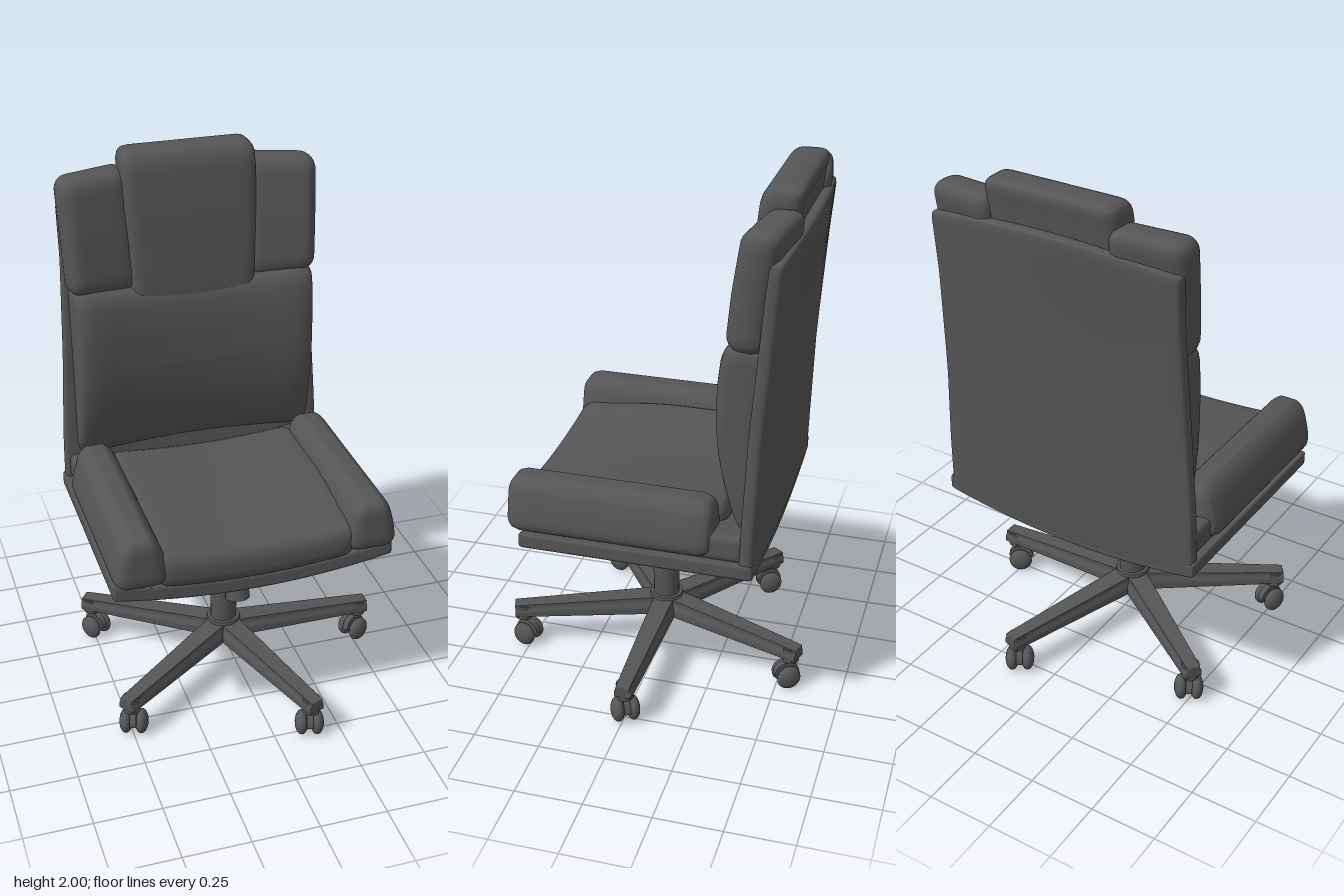
import * as THREE from 'three';
import { mergeVertices } from 'three/addons/utils/BufferGeometryUtils.js';

const material = new THREE.MeshStandardMaterial({ color: 0x555555, roughness: 0.8 });

// Linear lookup in a short list of [key, value] pairs.
function lookup(table, k) {
  if (k <= table[0][0]) return table[0][1];
  for (let i = 1; i < table.length; i++) {
    const [a, va] = table[i - 1], [b, vb] = table[i];
    if (k <= b) return va + (vb - va) * (k - a) / (b - a);
  }
  return table[table.length - 1][1];
}

// Rounded block, denser towards its edges, whose vertices are then moved by a rule.
function padGeometry(size, r, warp, n = 20) {
  const geo = new THREE.BoxGeometry(2, 2, 2, n, n, 12);
  geo.deleteAttribute('normal');
  geo.deleteAttribute('uv');
  const merged = mergeVertices(geo, 1e-4);
  const pos = merged.attributes.position;
  const half = new THREE.Vector3(...size).multiplyScalar(0.5);
  const inner = half.clone().subScalar(r);
  const v = new THREE.Vector3(), core = new THREE.Vector3();
  for (let i = 0; i < pos.count; i++) {
    v.fromBufferAttribute(pos, i);
    for (const a of ['x', 'y', 'z']) v[a] = Math.sin(v[a] * Math.PI / 2) * half[a];
    core.copy(v).clamp(inner.clone().negate(), inner);
    v.sub(core).setLength(r).add(core);
    warp(v);
    pos.setXYZ(i, v.x, v.y, v.z);
  }
  merged.computeVertexNormals();
  return merged;
}

function add(parent, name, geo, x = 0, y = 0, z = 0) {
  const mesh = new THREE.Mesh(geo, material);
  mesh.name = name;
  mesh.position.set(x, y, z);
  parent.add(mesh);
  return mesh;
}

// Flip a geometry to the other side, keeping its faces outward.
function mirrored(geo) {
  const g = geo.clone().scale(-1, 1, 1);
  const idx = g.index.array;
  for (let i = 0; i < idx.length; i += 3) [idx[i], idx[i + 1]] = [idx[i + 1], idx[i]];
  g.computeVertexNormals();
  return g;
}

function addPair(parent, name, geo) {
  add(parent, 'left' + name, geo);
  add(parent, 'right' + name, mirrored(geo));
}

function buildSeat(chair) {
  const seat = new THREE.Group();
  seat.name = 'seat';
  chair.add(seat);
  const sag = x => 0.05 * (x / 0.525) ** 2;

  // Curved tray under the cushions
  add(seat, 'seatTray', padGeometry([1.05, 0.06, 0.86], 0.012, v => {
    v.y += 0.64 + sag(v.x);
    v.z -= 0.03;
  }));
  // Centre cushion with a rounded, slightly bowed front
  add(seat, 'seatCushion', padGeometry([0.76, 0.15, 0.77], 0.06, v => {
    v.y += 0.745 + sag(v.x) * 0.9;
    if (v.y > 0.76) v.y += 0.03 * Math.min(1, Math.max(0, (0.3 - v.z) / 0.25));
    v.z += 0.055;
  }));
  // Raised side bolsters, narrowing to a soft ridge
  addPair(seat, 'Bolster', padGeometry([0.2, 0.21, 0.765], 0.055, v => {
    const t = v.y / 0.21 + 0.5;
    v.x = 0.428 + v.x * (1.02 - 0.5 * t * t);
    v.y += 0.818;
    v.z = v.z * (1 - 0.02 * t) + 0.07;
  }));
  // Low upholstery between cushion and back
  add(seat, 'seatRear', padGeometry([1.0, 0.11, 0.2], 0.03, v => {
    v.y += 0.715 + sag(v.x);
    v.z -= 0.34;
  }));
}

function buildBack(chair) {
  const back = new THREE.Group();
  back.name = 'backrest';
  chair.add(back);
  const shellRear = [[0.6, -0.46], [0.85, -0.473], [1.2, -0.495], [1.6, -0.535], [1.9, -0.568]];
  const shellWidth = [[0.6, 1.01], [0.88, 1], [1.2, 0.965], [1.6, 0.935], [1.9, 0.94]];
  const padFront = [[0.8, -0.4], [0.9, -0.36], [1, -0.33], [1.1, -0.31], [1.2, -0.3], [1.35, -0.3], [1.45, -0.312], [1.52, -0.335]];
  const panelFront = [[1.2, -0.365], [1.4, -0.342], [1.52, -0.343], [1.75, -0.365], [1.93, -0.385], [2, -0.405]];
  const wingFront = [[1.45, -0.33], [1.55, -0.325], [1.7, -0.34], [1.93, -0.375]];

  // Thin outer shell, wrapping forward at its sides
  add(back, 'backShell', padGeometry([1.03, 1.25, 0.054], 0.022, v => {
    const e = (v.x / 0.515) ** 2, t = v.y / 1.25 + 0.5;
    v.y += 1.24 + e * (0.045 - 0.09 * t * t);
    v.x *= lookup(shellWidth, v.y);
    v.z += lookup(shellRear, v.y) + 0.027 + e * (0.004 + 0.03 * t);
  }));
  // Lower cushion, fuller at its sides, its rear lying on the shell
  add(back, 'lowerBackCushion', padGeometry([0.93, 0.7, 0.15], 0.045, v => {
    const e = Math.min(1, (v.x / 0.38) ** 2);
    v.y += 1.165 - 0.025 * (1 - e) * (v.y > 0 ? 1 : -0.5);
    const front = lookup(padFront, v.y) - 0.025 * (1 - e);
    const rear = lookup(shellRear, v.y) + 0.03;
    v.z = rear + (front - rear) * (v.z / 0.15 + 0.5);
  }));
  // Centre panel running up into the headrest
  add(back, 'centrePanel', padGeometry([0.51, 0.75, 0.145], 0.045, v => {
    v.y += 1.625;
    v.x *= 0.94 + 0.06 * Math.min(1, Math.max(0, (v.y - 1.5) / 0.3));
    v.z = lookup(panelFront, v.y) - 0.0725 + v.z;
  }));
  // Upper side wings, turned in towards the sitter
  addPair(back, 'HeadWing', padGeometry([0.27, 0.46, 0.14], 0.05, v => {
    const out = v.x / 0.27 + 0.5;
    v.y += 1.705 - 0.015 * out * (v.y > 0 ? 1 : -1);
    v.x += 0.345 + 0.015 * (v.y - 1.5) / 0.43 - 0.2 * Math.max(0, v.z) * out;
    v.z = lookup(wingFront, v.y) - 0.07 + v.z - 0.045 * (1 - out);
  }));
}

function buildMechanism(chair) {
  const mech = new THREE.Group();
  mech.name = 'mechanism';
  chair.add(mech);
  // Plate and housing below the seat
  const shape = new THREE.Shape([[-0.16, -0.25], [-0.05, -0.2], [0.05, -0.2], [0.16, -0.25], [0.18, 0.2], [0.07, 0.15], [-0.07, 0.15], [-0.18, 0.2]].map(p => new THREE.Vector2(...p)));
  const plate = new THREE.ExtrudeGeometry(shape, { depth: 0.02, bevelEnabled: false });
  add(mech, 'mountPlate', plate.rotateX(-Math.PI / 2), 0, 0.595);
  add(mech, 'tiltHousing', new THREE.BoxGeometry(0.15, 0.035, 0.32), 0, 0.582, 0.05);
  // Tension knob
  const knob = new THREE.Group();
  knob.name = 'tensionKnob';
  knob.position.set(0, 0.5, 0.16);
  knob.rotation.x = -0.2;
  mech.add(knob);
  add(knob, 'knobGrip', new THREE.CylinderGeometry(0.042, 0.047, 0.09, 16), 0, -0.03);
  add(knob, 'knobNeck', new THREE.CylinderGeometry(0.03, 0.03, 0.07, 16), 0, 0.045);
  // Height lever: rod and flat paddle
  const path = new THREE.CatmullRomCurve3([[0, 0.57, -0.08], [-0.06, 0.55, -0.095], [-0.12, 0.53, -0.1], [-0.18, 0.5, -0.1]].map(p => new THREE.Vector3(...p)));
  add(mech, 'leverRod', new THREE.TubeGeometry(path, 12, 0.009, 8));
  const paddle = add(mech, 'leverPaddle', new THREE.BoxGeometry(0.075, 0.008, 0.045), -0.2, 0.486, -0.1);
  paddle.rotation.z = 0.62;
  // Telescoping gas column
  const profile = [[0.045, 0.14], [0.05, 0.2], [0.052, 0.39], [0.036, 0.39], [0.034, 0.47], [0.034, 0.53], [0.022, 0.53], [0.022, 0.59]];
  for (let i = 1; i < profile.length; i++) {
    const [r0, y0] = profile[i - 1], [r1, y1] = profile[i];
    if (y1 === y0) continue;
    add(mech, 'column', new THREE.CylinderGeometry(r1, r0, y1 - y0, 20), 0, (y0 + y1) / 2, -0.01);
  }
}

function buildBase(chair) {
  const base = new THREE.Group();
  base.name = 'base';
  base.position.z = -0.01;
  chair.add(base);
  add(base, 'hub', new THREE.CylinderGeometry(0.064, 0.076, 0.085, 20), 0, 0.18);

  // Arm tapering outwards in width and height
  const armGeo = padGeometry([0.58, 1, 1], 0.012, v => {
    const t = v.x / 0.58 + 0.5;
    const top = 0.212 - 0.036 * t, bottom = 0.14 - 0.012 * t;
    const width = 0.1 - 0.035 * t;
    v.z *= width * (v.y > 0 ? 0.8 : 1);
    v.y = bottom + (v.y + 0.5) * (top - bottom);
    v.x += 0.31;
  }, 8);
  // Domed wheel and half-round hood
  const wheelGeo = new THREE.SphereGeometry(0.047, 18, 12).scale(1, 1, 0.55);
  const hoodGeo = new THREE.CylinderGeometry(0.05, 0.05, 0.024, 18, 1, false, 0, Math.PI).rotateX(Math.PI / 2).rotateZ(Math.PI / 2);
  const turns = [0.5, 0.9, -0.4, 0.6, -0.6];

  for (let i = 0; i < 5; i++) {
    const leg = new THREE.Group();
    leg.name = 'leg';
    leg.rotation.y = i * Math.PI * 2 / 5;
    base.add(leg);
    add(leg, 'arm', armGeo);
    // Socket and twin-wheel caster
    add(leg, 'socket', new THREE.CylinderGeometry(0.034, 0.032, 0.06, 16), 0.567, 0.142);
    const caster = new THREE.Group();
    caster.name = 'caster';
    caster.position.x = 0.56;
    caster.rotation.y = turns[i];
    leg.add(caster);
    add(caster, 'stem', new THREE.CylinderGeometry(0.014, 0.014, 0.06, 10), 0, 0.1);
    add(caster, 'hood', hoodGeo, -0.01, 0.052);
    for (const s of [-1, 1]) add(caster, 'wheel', wheelGeo, -0.01, 0.047, s * 0.029);
  }
}

export function createModel() {
  const model = new THREE.Group();
  model.name = 'officeChair';
  const chair = new THREE.Group();
  chair.name = 'chair';
  chair.position.x = -0.043;
  model.add(chair);
  buildSeat(chair);
  buildBack(chair);
  buildMechanism(chair);
  buildBase(chair);
  return model;
}
